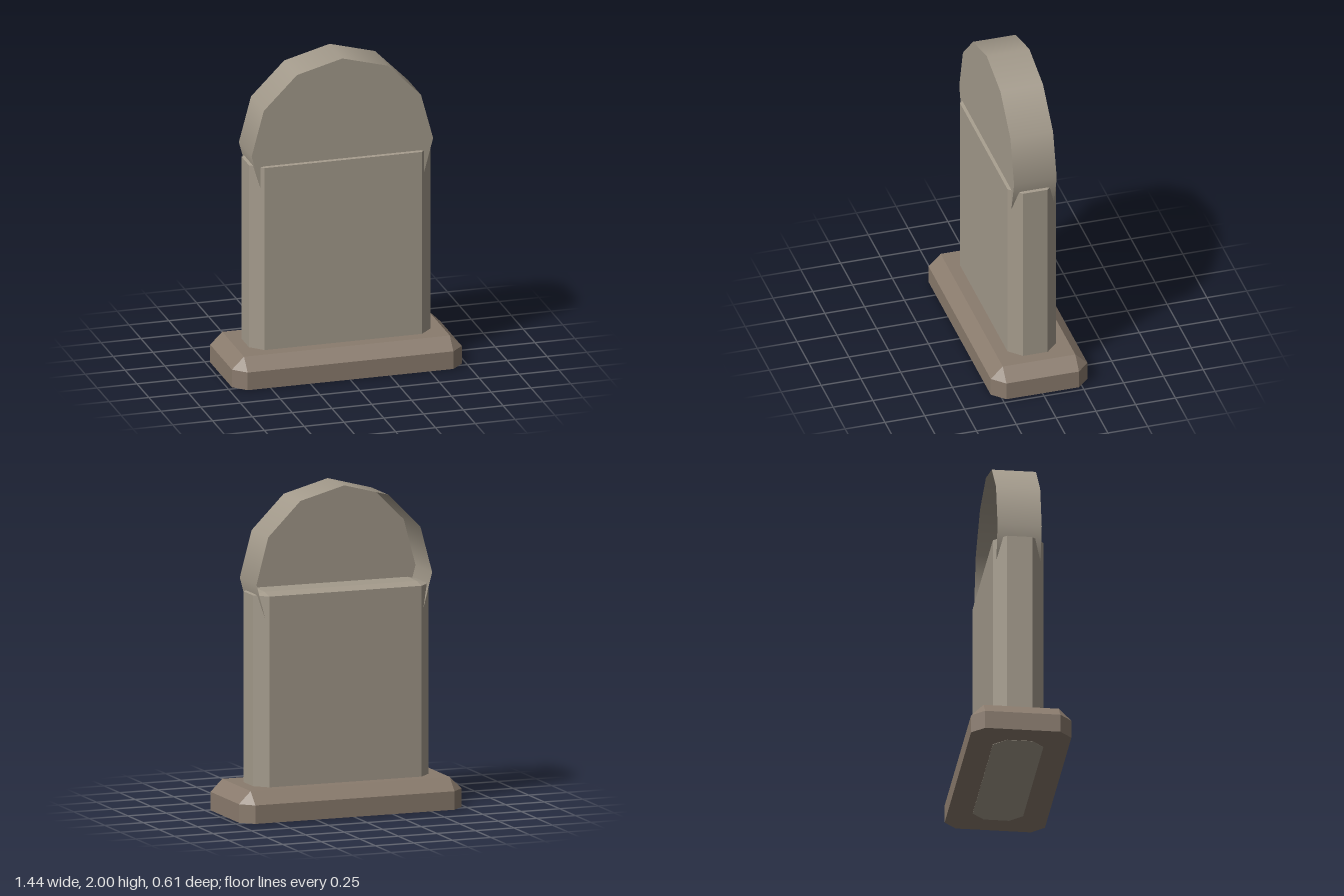
import * as THREE from 'three';
import { ConvexGeometry } from 'three/addons/geometries/ConvexGeometry.js';

const CHAMFER = 0.076;

// Block with cut vertical corners and a sloped top edge; flat bottom.
function chamferedBlock(halfX, halfZ, bottom, shoulder, top) {
  const points = [];
  for (const sx of [-1, 1]) {
    for (const sz of [-1, 1]) {
      const innerX = sx * (halfX - CHAMFER);
      const innerZ = sz * (halfZ - CHAMFER);
      for (const y of [bottom, shoulder]) {
        points.push(new THREE.Vector3(innerX, y, sz * halfZ));
        points.push(new THREE.Vector3(sx * halfX, y, innerZ));
      }
      points.push(new THREE.Vector3(innerX, top, innerZ));
    }
  }
  return new ConvexGeometry(points);
}

export function createModel() {
  const group = new THREE.Group();
  group.name = 'headstone';

  const stone = new THREE.MeshStandardMaterial({ color: 0xa39a8b });
  stone.name = 'pale stone';
  stone.side = THREE.DoubleSide;
  const plinthStone = new THREE.MeshStandardMaterial({ color: 0x8a7b6d });
  plinthStone.name = 'brown stone';

  const add = (parent, name, geometry, material) => {
    const mesh = new THREE.Mesh(geometry, material);
    mesh.name = name;
    parent.add(mesh);
    return mesh;
  };

  // Plinth, and the slab that passes down through it to the ground
  add(group, 'plinth', chamferedBlock(0.722, 0.304, 0.002, 0.115, 0.19), plinthStone);
  add(group, 'slab', chamferedBlock(0.57, 0.153, 0, 1.356, 1.373), stone);

  // Rounded top: a twelve-sided smooth drum, closed in front and open behind
  const radius = 0.57;
  const halfDepth = 0.134;
  const crown = new THREE.Group();
  crown.name = 'roundedTop';
  crown.position.y = 2 - radius;
  group.add(crown);

  const rim = new THREE.CylinderGeometry(radius, radius, 2 * halfDepth, 12, 1, true);
  rim.rotateX(Math.PI / 2);
  add(crown, 'roundedTopRim', rim, stone);
  const face = add(crown, 'roundedTopFace', new THREE.CircleGeometry(radius, 12), stone);
  face.position.z = halfDepth;

  return group;
}
